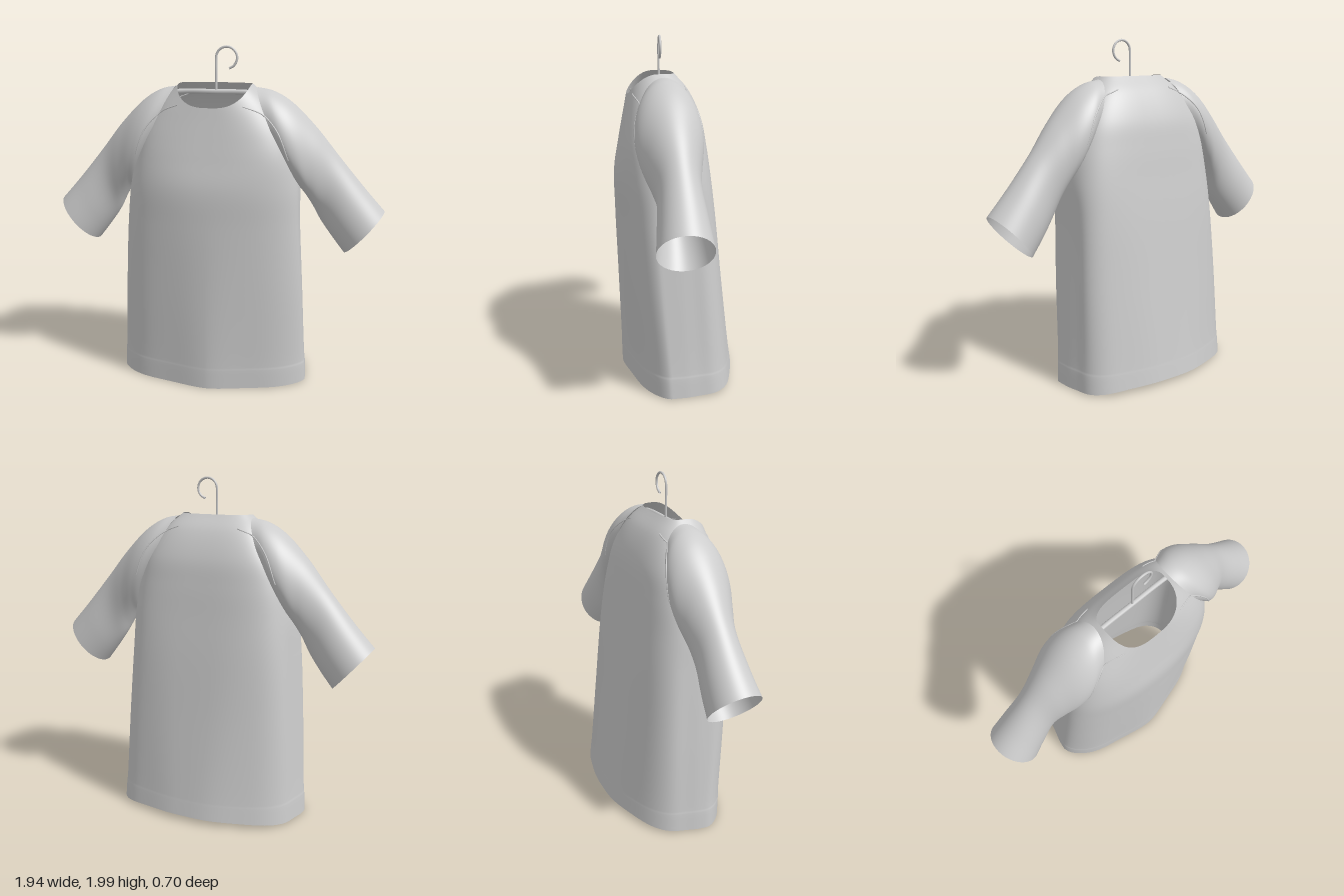
import * as THREE from 'three';

const SEGMENTS = 96;
const { lerp, smoothstep } = THREE.MathUtils;

// Smooth open tube through a list of ring functions; faces whose corner is cut away are left out
function loft(rings, steps, isCut = () => false) {
  const rows = (rings.length - 1) * steps + 1;
  const positions = new Float32Array(rows * SEGMENTS * 3);
  const index = [];
  for (let j = 0; j < SEGMENTS; j++) {
    const angle = (j / SEGMENTS) * Math.PI * 2;
    const column = new THREE.CatmullRomCurve3(rings.map(ring => ring(angle)));
    for (let i = 0; i < rows; i++) {
      const point = column.getPoint(i / (rows - 1));
      point.toArray(positions, (i * SEGMENTS + j) * 3);
      if (i === rows - 1 || isCut(point)) continue;
      const a = i * SEGMENTS + j, b = i * SEGMENTS + ((j + 1) % SEGMENTS);
      index.push(a, b, a + SEGMENTS, b, b + SEGMENTS, a + SEGMENTS);
    }
  }
  const geometry = new THREE.BufferGeometry();
  geometry.setAttribute('position', new THREE.BufferAttribute(positions, 3));
  geometry.setIndex(index);
  geometry.computeVertexNormals();
  return geometry;
}

const power = (v, p) => Math.sign(v) * Math.abs(v) ** p;

// Body ring: heights at back, side and front, right and left edge, back and front depth, widest z
function bodyRing([yBack, ySide, yFront, x0, x1, zBack, zFront, zMid]) {
  const fall = Math.max(0, 1 - ySide / 1.25);
  const chest = smoothstep(ySide, 0, 1.1);
  const upper = smoothstep(ySide, 1.1, 1.5);
  // Squareness of the four corners; the hem hangs a little askew
  const front = [lerp(2.0, 2.2, chest), lerp(1.7, 2.0, chest)].map(e => lerp(e, 3.0, upper));
  const back = [lerp(2.3, 3.2, chest), lerp(3.2, 4.0, chest)].map(e => lerp(e, 3.2, upper));
  return angle => {
    const s = Math.sin(angle), c = Math.cos(angle);
    const p = 2 / (c > 0 ? front : back)[s > 0 ? 1 : 0];
    // Hanging folds: soft waves in front and behind, and a hollow along each side
    const wave = 0.012 * fall * Math.cos(6 * angle - 0.3) * c * c;
    const turn = (Math.acos(c) - 1.8) / 0.2;
    const hollow = 0.018 * Math.min(1, fall * 3) * Math.exp(-turn * turn);
    const y = ySide + (c > 0 ? (yFront - ySide) * c ** 1.5 : (yBack - ySide) * c * c);
    return new THREE.Vector3(
      (x0 + x1) / 2 + (x1 - x0) / 2 * power(s, p) - hollow * s,
      y,
      zMid + (c > 0 ? zFront - zMid : zMid - zBack) * power(c, p) + wave * c);
  };
}

// Sleeve ring: upper point, lower point, back and front depth
function sleeveRing([tx, ty, bx, by, zBack, zFront], k, side) {
  const shift = side < 0 ? 0.045 * Math.max(0, k - 2) / 6 : 0;
  return angle => {
    const c = Math.cos(angle), s = side * Math.sin(angle);
    return new THREE.Vector3(
      side * ((tx + bx) / 2 + (tx - bx) / 2 * c),
      (ty + by) / 2 + (ty - by) / 2 * c,
      (zBack + zFront) / 2 + (zFront - zBack) / 2 * s + shift);
  };
}

const BODY = [
  [0.035, 0.008, 0.005, -0.60, 0.555, -0.342, 0.302, 0.05],
  [0.12, 0.12, 0.12, -0.593, 0.549, -0.33, 0.306, 0.055],
  [0.14, 0.14, 0.14, -0.590, 0.546, -0.327, 0.306, 0.055],
  [0.60, 0.60, 0.60, -0.558, 0.522, -0.272, 0.325, 0.09],
  [1.00, 1.00, 1.00, -0.525, 0.497, -0.228, 0.342, 0.115],
  [1.22, 1.22, 1.22, -0.498, 0.485, -0.20, 0.346, 0.11],
  [1.40, 1.40, 1.38, -0.455, 0.455, -0.176, 0.32, 0.075],
  [1.55, 1.55, 1.49, -0.40, 0.40, -0.147, 0.30, 0.065],
  [1.70, 1.70, 1.60, -0.30, 0.30, -0.078, 0.28, 0.07],
  [1.79, 1.79, 1.67, -0.21, 0.21, 0.0, 0.268, 0.09],
];

const SLEEVE = [
  [0.235, 1.772, 0.47, 1.26, -0.09, 0.225],
  [0.32, 1.755, 0.50, 1.21, -0.118, 0.244],
  [0.42, 1.70, 0.53, 1.17, -0.12, 0.235],
  [0.565, 1.56, 0.57, 1.10, -0.10, 0.19],
  [0.70, 1.395, 0.61, 1.02, -0.09, 0.15],
  [0.85, 1.215, 0.68, 0.92, -0.112, 0.155],
  [0.97, 1.08, 0.75, 0.83, -0.13, 0.167],
];

// Armholes: the body wall beyond the slanted start of each sleeve
const inArmhole = p => p.y > 1.3 && p.y < 1.74
  && Math.abs(p.x) > 0.235 + (1.772 - p.y) * 0.46 + 0.035;

export function createModel() {
  const group = new THREE.Group();
  const cloth = new THREE.MeshStandardMaterial({ color: 0xcccccc, side: THREE.DoubleSide });
  cloth.name = 'cloth grey';

  const add = (name, geometry, parent = group) => {
    const mesh = new THREE.Mesh(geometry, cloth);
    mesh.name = name;
    parent.add(mesh);
    return mesh;
  };
  const tube = (points, radius) => new THREE.TubeGeometry(
    new THREE.CatmullRomCurve3(points), 40, radius, 8);

  // Shirt body and sleeves
  const shirt = [add('body', loft(BODY.map(bodyRing), 6, inArmhole))];
  for (const side of [1, -1]) {
    const rings = SLEEVE.map((row, k) => sleeveRing(row, k, side));
    shirt.push(add(side > 0 ? 'leftSleeve' : 'rightSleeve', loft(rings, 6)));
  }
  group.updateMatrixWorld(true);

  // Raglan seams, laid onto the cloth from the front and from behind
  const caster = new THREE.Raycaster();
  const seamPath = new THREE.SplineCurve([[0.185, 1.68], [0.29, 1.635], [0.38, 1.54], [0.44, 1.39]]
    .map(p => new THREE.Vector2(...p)));
  for (const side of [1, -1]) {
    for (const face of [1, -1]) {
      const points = [];
      for (const p of seamPath.getPoints(16)) {
        const y = face > 0 ? p.y : p.y + 0.04;
        caster.set(new THREE.Vector3(side * p.x, y, face * 2), new THREE.Vector3(0, 0, -face));
        const hit = caster.intersectObjects(shirt)[0];
        if (hit) points.push(hit.point);
      }
      add((face > 0 ? 'front' : 'back') + 'Seam', tube(points, 0.004));
    }
  }

  // Hanger: bar with sloping arms, stem and hook
  const hanger = new THREE.Group();
  hanger.name = 'hanger';
  group.add(hanger);
  const v = (x, y) => new THREE.Vector3(x, y, 0.08);
  add('hangerBar', tube([v(-0.44, 1.665), v(-0.32, 1.725), v(-0.18, 1.743), v(0, 1.743),
    v(0.18, 1.743), v(0.32, 1.725), v(0.44, 1.665)], 0.014), hanger);
  const hook = [v(0, 1.74), v(0, 1.84)];
  for (let i = 0; i <= 12; i++) {
    const a = Math.PI - (i / 12) * Math.PI * 1.42;
    hook.push(v(0.06 + 0.06 * Math.cos(a), 1.933 + 0.06 * Math.sin(a)));
  }
  add('hook', tube(hook, 0.007), hanger);
  return group;
}
